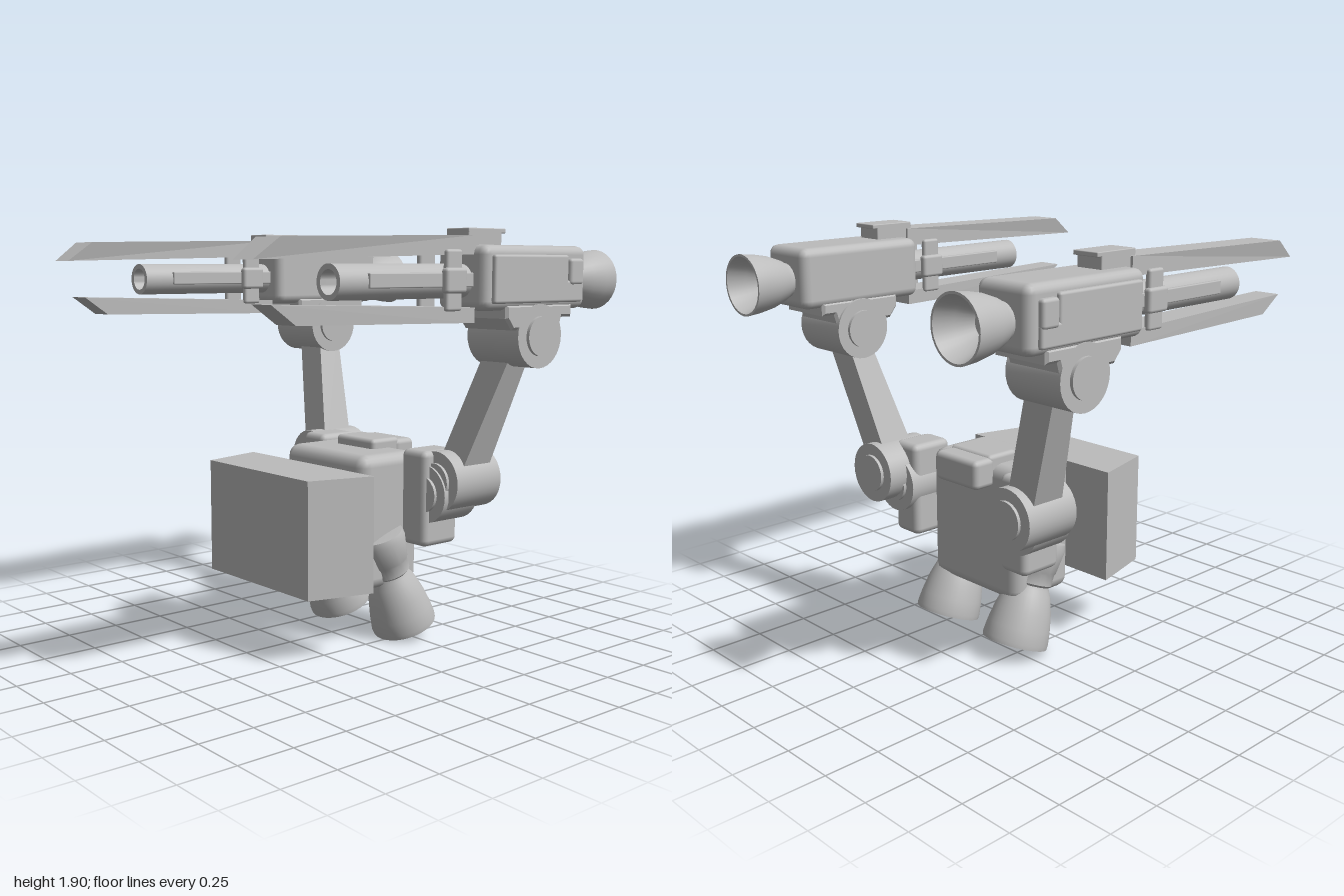
import * as THREE from 'three';
import { toCreasedNormals } from 'three/addons/utils/BufferGeometryUtils.js';
import { RoundedBoxGeometry } from 'three/addons/geometries/RoundedBoxGeometry.js';

const grey = new THREE.MeshStandardMaterial({ color: 0xbcbcbc, side: THREE.DoubleSide });
grey.name = 'light grey';

function add(parent, name, geometry, x = 0, y = 0, z = 0) {
  const mesh = new THREE.Mesh(geometry, grey);
  mesh.name = name;
  mesh.position.set(x, y, z);
  parent.add(mesh);
  return mesh;
}

// Box given by its limits, with softened edges
function block(parent, name, [x0, x1], [y0, y1], [z0, z1], r = 0.015) {
  const g = new RoundedBoxGeometry(Math.abs(x1 - x0), y1 - y0, z1 - z0, 2, r);
  return add(parent, name, g, (x0 + x1) / 2, (y0 + y1) / 2, (z0 + z1) / 2);
}

// Turned part around y, with sharp rims kept
function turned(points) {
  const g = new THREE.LatheGeometry(points.map(([r, y]) => new THREE.Vector2(r, y)), 32);
  return toCreasedNormals(g, 0.6);
}

// Side profile given as [z, y], extruded across x and centred
function profile(points, width, bevel = 0) {
  const shape = new THREE.Shape(points.map(([z, y]) => new THREE.Vector2(z, y)));
  const depth = width - 2 * bevel;
  const g = new THREE.ExtrudeGeometry(shape, {
    depth, bevelEnabled: bevel > 0, bevelSize: bevel, bevelOffset: -bevel, bevelThickness: bevel, bevelSegments: 1,
  });
  g.translate(0, 0, -depth / 2);
  g.rotateY(-Math.PI / 2);
  return g;
}

// Cylinder with a thin smaller cap on both ends, along x or z
function joint(parent, name, r, length, axis, x, y, z) {
  const h = length / 2, c = h - 0.015;
  const g = turned([[0, -h], [r * 0.62, -h], [r * 0.62, -c], [r, -c], [r, c], [r * 0.62, c], [r * 0.62, h], [0, h]]);
  if (axis === 'x') g.rotateZ(Math.PI / 2); else g.rotateX(Math.PI / 2);
  return add(parent, name, g, x, y, z);
}

// Rail whose tip narrows ahead of tipZ
function rail(parent, name, points, tipZ, x) {
  const g = profile(points, 0.155);
  const p = g.attributes.position;
  for (let i = 0; i < p.count; i++) if (p.getZ(i) > tipZ) p.setX(i, p.getX(i) * 0.8);
  g.computeVertexNormals();
  add(parent, name, g, x);
}

// Tapering, leaning strut between two joints
function strut(a, b) {
  const g = new THREE.BoxGeometry(1, 1, 1);
  const p = g.attributes.position;
  for (let i = 0; i < p.count; i++) {
    const t = p.getY(i) + 0.5;
    p.setXYZ(i,
      a[0] + (b[0] - a[0]) * t + p.getX(i) * 0.16,
      a[1] + (b[1] - a[1]) * t,
      a[2] + (b[2] - a[2]) * t + p.getZ(i) * (0.175 - 0.055 * t));
  }
  g.computeVertexNormals();
  return g;
}

function buildThruster(parent, s) {
  const g = turned([
    [0, 0.2], [0.07, 0.2], [0.115, 0.13], [0.142, 0],
    [0.152, 0], [0.154, 0.02], [0.147, 0.08], [0.132, 0.16], [0.108, 0.24], [0.095, 0.265],
    [0.09, 0.28], [0.1, 0.29], [0.1, 0.34], [0.106, 0.35], [0.122, 0.46], [0.115, 0.49], [0, 0.5],
  ]);
  add(parent, 'lowerThruster', g, s * 0.236, 0.064, -0.254).rotation.x = 0.355;
}

function buildShoulder(parent, s) {
  block(parent, 'shoulderBracket', [s * 0.285, s * 0.445], [0.475, 0.92], [-0.395, -0.18], 0.03);
  joint(parent, 'lowerShoulderJoint', 0.135, 0.24, 'z', s * 0.41, 0.72, -0.315);
  joint(parent, 'upperShoulderJoint', 0.14, 0.31, 'z', s * 0.46, 0.78, -0.375);
  add(parent, 'armStrut', strut([s * 0.468, 0.78, -0.37], [s * 0.685, 1.42, -0.475]));
  joint(parent, 'elbowJoint', 0.14, 0.33, 'x', s * 0.705, 1.45, -0.468);
}

function buildCannon(parent, s) {
  const gun = new THREE.Group();
  gun.name = s > 0 ? 'leftCannon' : 'rightCannon';
  gun.position.x = s * 0.71;
  parent.add(gun);

  // Housing with underside mount and outer panel
  block(gun, 'housing', [-0.145, 0.145], [1.565, 1.84], [-0.775, -0.12], 0.04);
  add(gun, 'mount', profile([[-0.255, 1.59], [-0.255, 1.53], [-0.295, 1.48], [-0.6, 1.48], [-0.615, 1.53], [-0.68, 1.53], [-0.68, 1.59]], 0.29, 0.012));
  block(gun, 'sidePanel', [s * 0.13, s * 0.165], [1.595, 1.8], [-0.63, -0.16], 0.012);
  block(gun, 'sidePanelRear', [s * 0.13, s * 0.165], [1.595, 1.69], [-0.725, -0.6], 0.012);
  block(gun, 'panelLatch', [s * 0.13, s * 0.172], [1.67, 1.785], [-0.725, -0.635], 0.015);

  // Hollow barrel with side strips
  const barrel = turned([[0, 0.5], [0.05, 0.5], [0.05, 0.8], [0.072, 0.8], [0.072, 0], [0, 0]].reverse());
  barrel.rotateX(Math.PI / 2);
  add(gun, 'barrel', barrel, 0, 1.69, -0.2);
  for (const side of [-1, 1]) {
    block(gun, 'barrelStrip', [side * 0.055, side * 0.08], [1.665, 1.725], [-0.12, 0.455], 0.005);
    block(gun, 'clampPlate', [side * 0.065, side * 0.095], [1.567, 1.82], [-0.04, 0.05], 0.012);
    block(gun, 'clampKnob', [side * 0.07, side * 0.11], [1.64, 1.745], [-0.055, 0.065], 0.015);
  }

  // Upper and lower rails
  rail(gun, 'upperRail', [[1, 1.775], [0.885, 1.86], [-0.13, 1.88], [-0.13, 1.8]], 0.95, 0);
  rail(gun, 'lowerRail', [[0.92, 1.61], [-0.13, 1.58], [-0.13, 1.515], [0.805, 1.53]], 0.75, 0);
  block(gun, 'sightBase', [-0.066, 0.066], [1.82, 1.9], [-0.3, -0.1], 0.005);
  block(gun, 'sightPlate', [-0.066, 0.066], [1.89, 1.91], [-0.325, -0.1], 0.004);

  // Rear exhaust bell
  const bell = turned([
    [0, 0.15], [0.06, 0.15], [0.1, 0.08], [0.127, 0],
    [0.137, 0], [0.131, 0.06], [0.117, 0.13], [0.095, 0.19], [0.078, 0.22], [0.078, 0.26], [0, 0.26],
  ]);
  bell.rotateX(Math.PI / 2);
  add(gun, 'exhaustBell', bell, 0, 1.69, -1);
}

export function createModel() {
  const model = new THREE.Group();
  model.name = 'twinCannonPack';

  // Tapered front shield, wider at its rear
  const outline = new THREE.Shape([[-0.45, -0.13], [-0.37, -0.435], [0.37, -0.435], [0.45, -0.13]].map(([x, y]) => new THREE.Vector2(x, y)));
  const shield = new THREE.ExtrudeGeometry(outline, { depth: 0.525, bevelEnabled: false });
  shield.rotateX(-Math.PI / 2);
  add(model, 'frontShield', shield, 0, 0.32, 0);

  // Pack body with stepped top and rear block
  block(model, 'body', [-0.29, 0.29], [0.27, 0.9], [-0.295, 0.055], 0.055);
  block(model, 'topPlate', [-0.135, 0.135], [0.86, 0.945], [-0.31, -0.14], 0.02);
  block(model, 'rearBlock', [-0.14, 0.14], [0.8, 0.935], [-0.4, -0.28], 0.025);

  for (const s of [-1, 1]) {
    buildThruster(model, s);
    buildShoulder(model, s);
    buildCannon(model, s);
  }
  return model;
}
